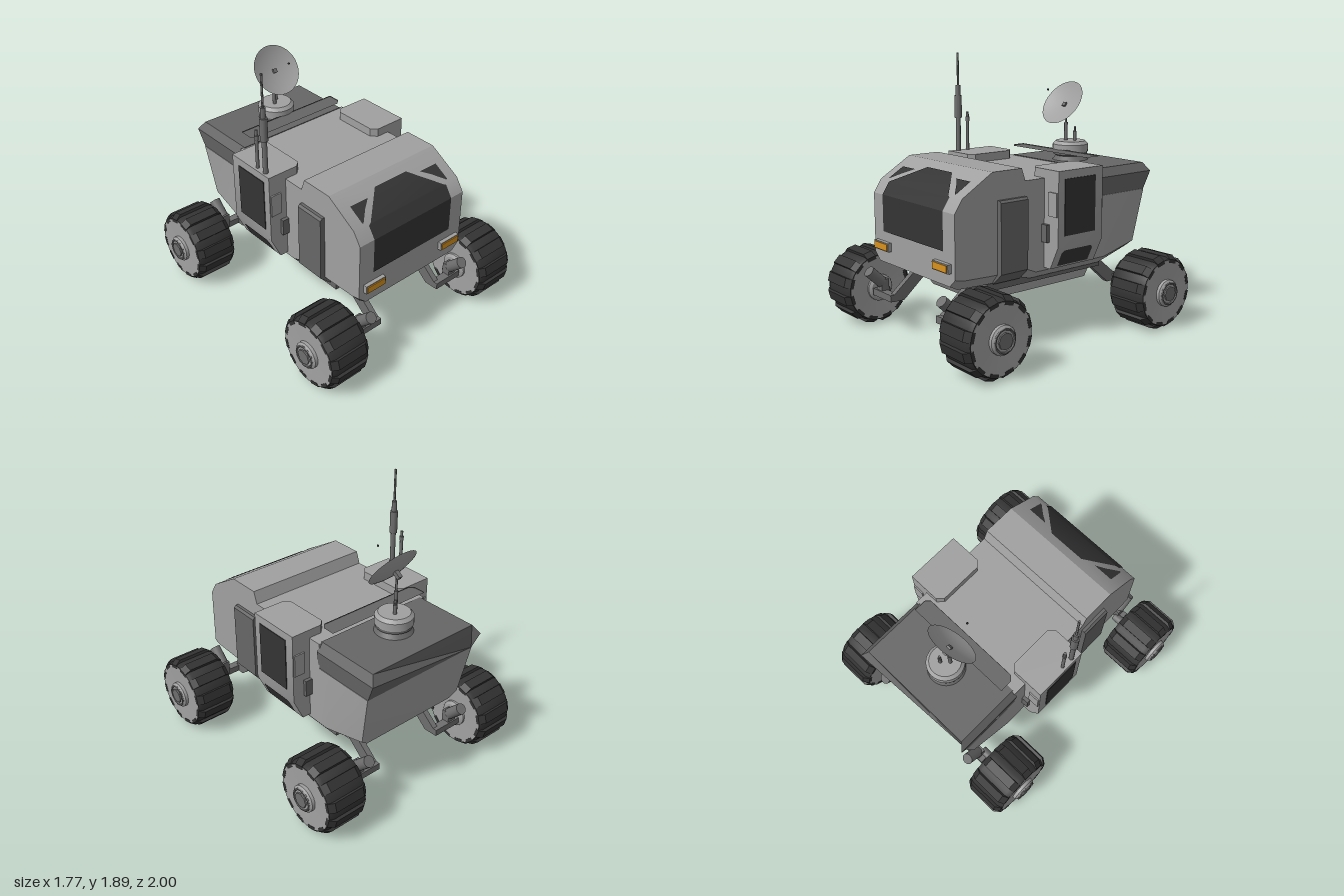
import * as THREE from 'three';
import { toCreasedNormals } from 'three/addons/utils/BufferGeometryUtils.js';

export function createModel() {
  const root = new THREE.Group();
  const mat = (name, color, side = THREE.FrontSide) => {
    const m = new THREE.MeshStandardMaterial({ color, side });
    m.name = name;
    return m;
  };
  const hull = mat('hull grey', 0xa0a0a0, THREE.DoubleSide);
  const dark = mat('dark grey', 0x666666);
  const metal = mat('metal grey', 0x6e6e6e);
  const glass = mat('dark glass', 0x343434, THREE.DoubleSide);
  const rubber = mat('tyre rubber', 0x333333);
  const amber = mat('amber lamp', 0xd8921e);

  // --- helpers ---
  const add = (name, geo, material, parent = root) => {
    const mesh = new THREE.Mesh(toCreasedNormals(geo, 0.5), material);
    mesh.name = name;
    parent.add(mesh);
    return mesh;
  };
  const mirrored = (geo) => {
    const p = (geo.index ? geo.toNonIndexed() : geo).attributes.position;
    const out = [];
    for (let i = 0; i < p.count; i += 3)
      for (const k of [0, 2, 1]) out.push(-p.getX(i + k), p.getY(i + k), p.getZ(i + k));
    return new THREE.BufferGeometry().setAttribute('position', new THREE.Float32BufferAttribute(out, 3));
  };
  const pair = (name, geo, material) => {
    add(name + 'Left', geo, material);
    add(name + 'Right', mirrored(geo), material);
  };
  const box = (x0, x1, y0, y1, z0, z1) =>
    new THREE.BoxGeometry(x1 - x0, y1 - y0, z1 - z0).translate((x0 + x1) / 2, (y0 + y1) / 2, (z0 + z1) / 2);
  const extrude = (pts, z0, z1) =>
    new THREE.ExtrudeGeometry(new THREE.Shape(pts.map((p) => new THREE.Vector2(...p))), {
      depth: z1 - z0, bevelEnabled: false,
    }).translate(0, 0, z0);
  const lathe = (pts, seg = 32) => new THREE.LatheGeometry(pts.map((p) => new THREE.Vector2(...p)), seg);
  const rod = (a, b, r, seg = 16) => {
    const s = new THREE.Vector3(...a), d = new THREE.Vector3(...b).sub(s);
    const q = new THREE.Quaternion().setFromUnitVectors(new THREE.Vector3(0, 1, 0), d.clone().normalize());
    return new THREE.CylinderGeometry(r, r, d.length(), seg).applyQuaternion(q)
      .translate(...s.addScaledVector(d, 0.5).toArray());
  };
  const mesh3 = (pts, index) => {
    const g = new THREE.BufferGeometry();
    g.setAttribute('position', new THREE.Float32BufferAttribute(pts.flat(), 3));
    g.setIndex(index);
    return g;
  };
  // closed loft through sections running front to back, counterclockwise from the front
  const loft = (sections) => {
    const n = sections[0].length, idx = [], last = (sections.length - 1) * n;
    for (let s = 0; s < sections.length - 1; s++)
      for (let i = 0; i < n; i++) {
        const a = s * n + i, b = s * n + ((i + 1) % n);
        idx.push(a, a + n, b + n, a, b + n, b);
      }
    for (let i = 1; i < n - 1; i++) idx.push(0, i, i + 1, last, last + i + 1, last + i);
    return mesh3(sections.flat(), idx);
  };
  // sheet between pairs of points, listed bottom to top
  const sheet = (rows) => {
    const idx = [];
    for (let i = 0; i < rows.length - 1; i++) {
      const a = i * 2;
      idx.push(a, a + 1, a + 3, a, a + 3, a + 2);
    }
    return mesh3(rows.flat(), idx);
  };

  // --- hull: z, top, side bottom, floor, lower half width ---
  const hullSection = ([z, top, low, floor, w = 0.468, lean = 0]) => [
    [-w + 0.06, floor, z + lean], [w - 0.06, floor, z + lean], [w, low, z + lean * 0.8],
    [0.468, top, z], [-0.468, top, z], [-w, low, z + lean * 0.8],
  ];
  add('hull', loft([
    [0.8, 0.97, 0.555, 0.5], [0.74, 1.06, 0.54, 0.47], [0.505, 1.2, 0.53, 0.46], [0.265, 1.2, 0.53, 0.46],
    [0.235, 1.115, 0.53, 0.46], [0.14, 1.115, 0.49, 0.435], [-0.43, 1.115, 0.49, 0.435],
    [-0.43, 0.93, 0.49, 0.435], [-0.5, 0.93, 0.49, 0.435], [-0.89, 0.93, 0.55, 0.5, 0.44, 0.09],
  ].map(hullSection)), hull);

  // rear equipment deck
  const deck = (z, zMid, zLow) => [
    [-0.465, 0.93, zLow], [0.465, 0.93, zLow], [0.48, 1.06, zMid],
    [0.44, 1.12, z], [-0.44, 1.12, z], [-0.48, 1.06, zMid],
  ];
  add('rearDeck', loft([deck(-0.42, -0.42, -0.42), deck(-0.9, -0.945, -0.89)]), dark);

  // chassis and belly pan
  add('chassisFrame', box(-0.4, 0.4, 0.405, 0.46, -0.52, 0.5), dark);
  add('bellyPan', extrude([[0.54, 0.48], [0.5, 0.36], [0.46, 0.3], [-0.5, 0.3], [-0.55, 0.38], [-0.55, 0.48]],
    -0.27, 0.27).rotateY(-Math.PI / 2), hull);

  // --- windscreen glass follows the nose ---
  const noseZ = (y) => 0.005 + (y < 0.97 ? 0.8 : y < 1.06 ? 0.8 - (y - 0.97) * 0.667 : 0.74 - (y - 1.06) * 1.679);
  const nosePane = (rows) => sheet(rows.map(([y, a, b]) => [[a, y + 0.003, noseZ(y)], [b, y + 0.003, noseZ(y)]]).flat()
    .reduce((r, p, i) => (i % 2 ? r[r.length - 1].push(p) : r.push([p]), r), []).map((r) => r.flat()));
  add('windscreen', nosePane([[0.715, -0.35, 0.35], [0.97, -0.35, 0.35], [1.05, -0.35, 0.35],
    [1.06, -0.33, 0.33], [1.16, -0.14, 0.14]]), glass);
  pair('cornerWindow', nosePane([[1.07, 0.375, 0.385], [1.11, 0.3, 0.385], [1.138, 0.235, 0.385]]), glass);
  add('roofStrip', extrude([[-0.405, -0.49], [0.405, -0.49], [0.405, -0.4], [0.375, -0.37], [-0.375, -0.37],
    [-0.405, -0.4]], 0, 0.006).rotateX(-Math.PI / 2).scale(1, 1, -1).rotateZ(Math.PI).translate(0, 1.204, 0), dark);

  // headlamps
  pair('lampHousing', box(0.26, 0.43, 0.59, 0.65, 0.79, 0.828), hull);
  pair('lamp', box(0.268, 0.422, 0.597, 0.643, 0.828, 0.835), amber);

  // dark side panels
  pair('sidePanel', extrude([[0.42, 0.455], [0.505, 0.535], [0.505, 1.0], [0.49, 1.015], [0.42, 1.015]], 0.24, 0.465), dark);

  // --- side door pods ---
  pair('doorPod', extrude([[0.4, 0.51], [0.53, 0.51], [0.605, 0.67], [0.605, 1.175], [0.4, 1.175]], -0.33, 0.07), hull);
  pair('podRoof', extrude([[0.33, -0.03], [0.37, -0.07], [0.605, -0.07], [0.605, 0.33], [0.37, 0.33], [0.33, 0.29]],
    0, 0.075).rotateX(-Math.PI / 2).translate(0, 1.1, 0), hull);
  pair('doorWindow', box(0.6, 0.61, 0.74, 1.12, -0.26, 0.015), glass);
  const slopeX = (y) => 0.53 + (y - 0.51) * 0.469 + 0.005;
  pair('lowerWindow', sheet([[0.525, -0.26, 0.02], [0.62, -0.26, 0.02], [0.64, -0.24, 0]]
    .map(([y, a, b]) => [slopeX(y), y, b, slopeX(y), y, a])), glass);
  for (const [z0, z1] of [[0.07, 0.08], [-0.34, -0.33]])
    pair('podPlate', box(0.515, 0.597, 0.87, 1.03, z0, z1), hull);
  for (const [z0, z1] of [[0.06, 0.095], [-0.355, -0.32]])
    pair('doorHinge', box(0.46, 0.52, 0.69, 0.81, z0, z1), dark);

  // --- suspension ---
  for (const e of [1, -1]) {
    const end = e > 0 ? 'front' : 'rear';
    const arm = [[0.5, 0.46], [0.56, 0.46], [0.78, 0.28], [0.78, 0.23], [0.7, 0.23], [0.5, 0.4]]
      .map(([z, y]) => [z * e, y]);
    pair(end + 'SwingArm', extrude(arm, 0.27, 0.31).rotateY(-Math.PI / 2).scale(-1, 1, 1).rotateY(0).scale(-1, 1, 1)
      .translate(0.58, 0, 0), metal);
    pair(end + 'CrossArm', box(0.27, 0.5, 0.232, 0.28, e * 0.78 - 0.03, e * 0.78 + 0.03), metal);
    pair(end + 'Axle', rod([0.44, 0.265, e * 0.735], [0.56, 0.265, e * 0.735], 0.032), metal);
    pair(end + 'Damper', rod([0.432, 0.335, e * 0.78], [0.432, 0.43, e * 0.88], 0.04), metal);
    pair(end + 'DamperMount', box(0.4, 0.465, 0.25, 0.36, e * 0.77 - 0.03, e * 0.77 + 0.03), metal);
  }

  // --- wheels, axis along x ---
  const tyre = lathe([[0.225, -0.152], [0.235, -0.152], [0.247, -0.12], [0.247, 0.12], [0.235, 0.152], [0.225, 0.152]], 36);
  const disc = lathe([[0, -0.146], [0.1, -0.15], [0.23, -0.154], [0.23, 0.154], [0.1, 0.15], [0, 0.146]], 36);
  const hub = lathe([[0, -0.178], [0.075, -0.178], [0.095, -0.165], [0.095, 0.172], [0.08, 0.184], [0, 0.184]], 24);
  const lug = extrude([[-0.155, 0.21], [0.155, 0.21], [0.155, 0.235], [0.115, 0.265], [-0.115, 0.265], [-0.155, 0.235]],
    -0.034, 0.034);
  for (const s of [1, -1])
    for (const z of [0.735, -0.735]) {
      const wheel = new THREE.Group();
      wheel.name = (z > 0 ? 'front' : 'rear') + 'Wheel' + (s > 0 ? 'Left' : 'Right');
      wheel.position.set(s * 0.69, 0.265, z);
      wheel.rotation.y = s > 0 ? 0 : Math.PI;
      const lay = (g) => g.clone().rotateZ(-Math.PI / 2);
      add('tyre', lay(tyre), rubber, wheel);
      add('wheelDisc', lay(disc), hull, wheel);
      add('hub', lay(hub), hull, wheel);
      add('hubRing', new THREE.TorusGeometry(0.076, 0.008, 6, 12).rotateY(Math.PI / 2).translate(0.184, 0, 0), metal, wheel);
      add('hubNut', rod([0.17, 0, 0], [0.195, 0, 0], 0.054, 8), metal, wheel);
      for (let i = 0; i < 12; i++)
        add('treadLug', lug.clone().rotateX(((i + 0.5) / 12) * Math.PI * 2), rubber, wheel);
      root.add(wheel);
    }

  // --- dish turret ---
  const turret = (pts) => lathe(pts).translate(-0.01, 0, -0.61);
  add('turretBase', turret([[0.14, 1.11], [0.105, 1.15], [0.125, 1.16], [0.125, 1.185], [0, 1.185]]), dark);
  add('turretHead', turret([[0, 1.18], [0.13, 1.18], [0.13, 1.235], [0.108, 1.258], [0, 1.258]]), hull);
  add('dishMastLower', rod([-0.038, 1.24, -0.59], [-0.038, 1.39, -0.59], 0.013), metal);
  add('dishMastUpper', rod([-0.038, 1.38, -0.59], [-0.038, 1.52, -0.59], 0.008), metal);
  add('turretRod', rod([0.01, 1.24, -0.635], [0.01, 1.36, -0.635], 0.008), metal);
  add('turretRodSleeve', rod([0.01, 1.24, -0.635], [0.01, 1.325, -0.635], 0.013), metal);
  const dish = new THREE.Group();
  dish.name = 'dish';
  dish.position.set(-0.038, 1.54, -0.55);
  dish.rotation.x = Math.atan2(0.815, 0.58);
  const bowl = [0, 0.04, 0.08, 0.12, 0.15, 0.18].map((r) => [r, -0.035 + 0.035 * (r / 0.18) ** 2]);
  add('dishBowl', lathe(bowl, 40), hull, dish);
  add('dishMount', box(-0.015, 0.015, -0.085, -0.02, -0.015, 0.015), metal, dish);
  add('dishFeed', new THREE.SphereGeometry(0.008, 8, 6).translate(0, 0.172, 0), rubber, dish);
  root.add(dish);

  // --- whip antennas on the right pod ---
  for (const [y0, y1, r, z] of [[1.17, 1.43, 0.018, 0], [1.42, 1.585, 0.027, 0], [1.58, 1.66, 0.018, 0],
    [1.65, 1.895, 0.008, 0], [1.17, 1.41, 0.012, -0.085], [1.4, 1.46, 0.01, -0.085]])
    add('antenna', rod([-0.575, y0, z], [-0.575, y1, z], r), metal);
  add('antennaCollar', rod([-0.575, 1.39, -0.085], [-0.575, 1.42, -0.085], 0.015), metal);

  return root;
}
